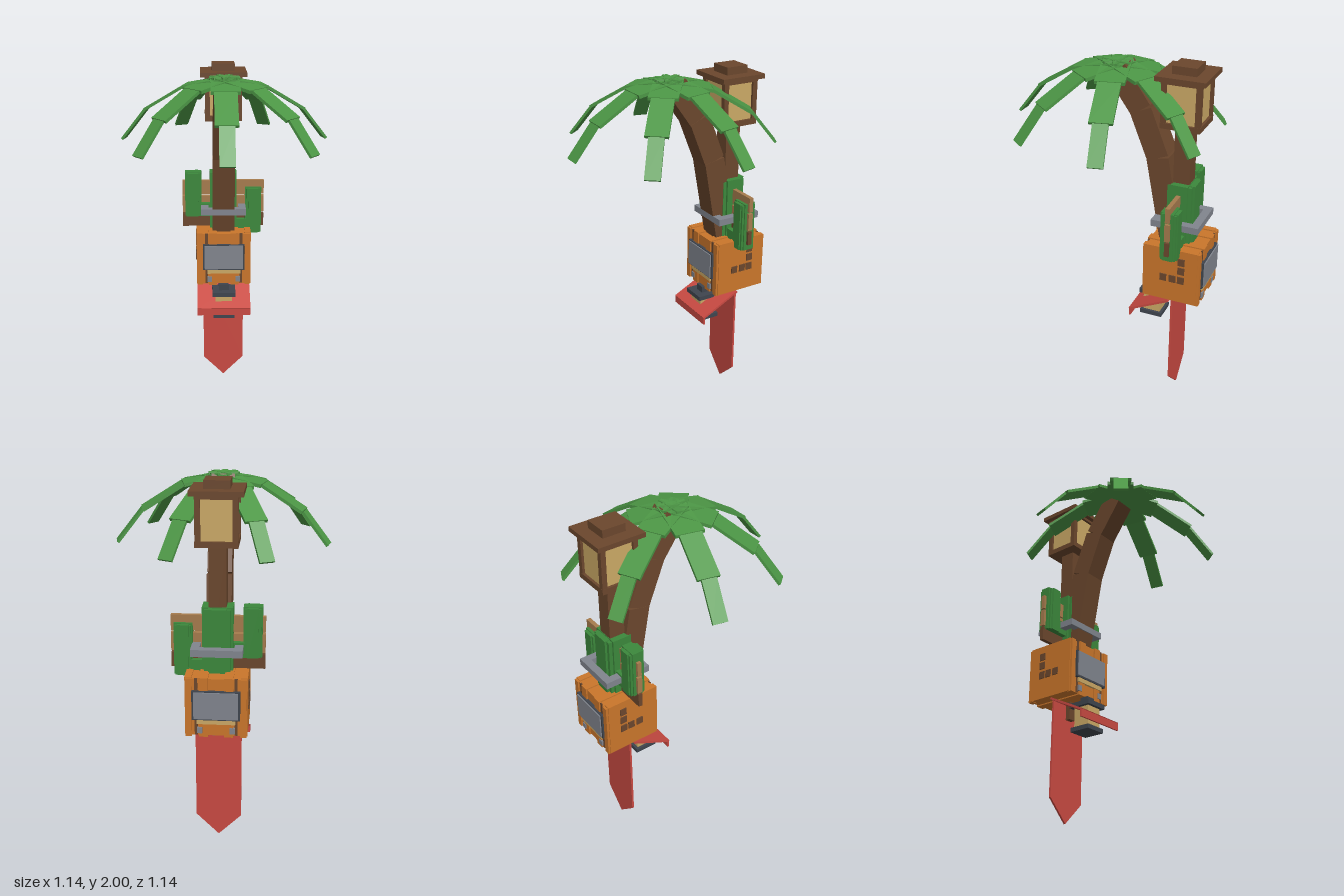
import * as THREE from 'three';

const mat = (name, color) => {
  const m = new THREE.MeshStandardMaterial({ color });
  m.name = name;
  return m;
};

export function createModel() {
  const leaf = mat('leaf green', 0x4c9645);
  const cactusGreen = mat('cactus green', 0x3c883c);
  const bark = mat('dark wood', 0x6b472d);
  const plank = mat('light wood', 0xa67b4d);
  const orange = mat('orange', 0xca762b);
  const glass = mat('lantern glass', 0xcba966);
  const grey = mat('grey metal', 0x81858e);
  const dark = mat('dark metal', 0x3f454e);
  const red = mat('red cloth', 0xc94a42);

  const root = new THREE.Group();
  root.name = 'palmLanternTotem';
  const CZ = -0.385; // axis of the post, crate and banner

  const group = (name, z = 0) => {
    const g = new THREE.Group();
    g.name = name;
    g.position.z = z;
    root.add(g);
    return g;
  };
  // box from its minimum and maximum corners
  const box = (parent, name, m, x0, x1, y0, y1, z0, z1) => {
    const b = new THREE.Mesh(new THREE.BoxGeometry(x1 - x0, y1 - y0, z1 - z0), m);
    b.name = name;
    b.position.set((x0 + x1) / 2, (y0 + y1) / 2, (z0 + z1) / 2);
    parent.add(b);
    return b;
  };
  // beam in the yz plane running from a to b, each given as [z, y]
  const beam = (parent, name, m, a, b, width, thick) => {
    const dz = b[0] - a[0], dy = b[1] - a[1];
    const s = new THREE.Mesh(new THREE.BoxGeometry(width, thick, Math.hypot(dz, dy)), m);
    s.name = name;
    s.position.set(0, (a[1] + b[1]) / 2, (a[0] + b[0]) / 2);
    s.rotation.x = -Math.atan2(dy, dz);
    parent.add(s);
  };

  // leaning palm trunk
  const trunk = group('palmTrunk');
  const joints = [[-0.345, 1.0], [-0.255, 1.49], [-0.155, 1.74], [-0.015, 1.935]];
  for (let i = 0; i < 3; i++) beam(trunk, 'trunkSegment', bark, joints[i], joints[i + 1], 0.13 - i * 0.004, 0.125);

  // seven drooping fronds, each of three narrowing segments
  const crown = group('palmCrown');
  const arc = [[-0.03, 1.965], [0.22, 1.918], [0.435, 1.79], [0.572, 1.62]];
  const widths = [0.155, 0.12, 0.08];
  for (let k = 0; k < 7; k++) {
    const frond = new THREE.Group();
    frond.name = 'frond';
    frond.rotation.y = (k * Math.PI * 2) / 7;
    for (let i = 0; i < 3; i++) beam(frond, 'frondSegment', leaf, arc[i], arc[i + 1], widths[i], 0.018 - i * 0.002);
    crown.add(frond);
  }

  // tall lantern on a post
  const lamp = group('postLantern', CZ);
  box(lamp, 'post', bark, -0.045, 0.045, 1.0, 1.69, -0.045, 0.045);
  box(lamp, 'lanternBase', bark, -0.107, 0.107, 1.68, 1.71, -0.107, 0.107);
  box(lamp, 'lanternGlass', glass, -0.092, 0.092, 1.71, 1.93, -0.092, 0.092);
  box(lamp, 'lanternTopRail', bark, -0.107, 0.107, 1.915, 1.935, -0.107, 0.107);
  for (const sx of [-1, 1]) for (const sz of [-1, 1]) {
    const p = box(lamp, 'lanternCorner', bark, -0.014, 0.014, 1.7, 1.93, -0.014, 0.014);
    p.position.x = sx * 0.092;
    p.position.z = sz * 0.092;
  }
  box(lamp, 'lanternRoof', bark, -0.133, 0.133, 1.933, 1.958, -0.133, 0.133);
  box(lamp, 'lanternCap', bark, -0.065, 0.065, 1.958, 2.0, -0.065, 0.065);

  // plank sign
  const sign = group('plankSign', CZ);
  box(sign, 'lowerPlank', bark, -0.245, 0.245, 1.02, 1.1, -0.012, 0.012);
  box(sign, 'middlePlank', plank, -0.245, 0.245, 1.11, 1.21, -0.014, 0.014);
  box(sign, 'upperPlank', plank, -0.245, 0.245, 1.22, 1.305, -0.012, 0.012);

  // cactus with a cross-shaped stem and two upright arms
  const cactus = group('cactus', CZ);
  const ribbed = (name, x, y0, y1, r) => {
    box(cactus, name, cactusGreen, x - r, x + r, y0, y1, -r * 0.6, r * 0.6);
    box(cactus, name, cactusGreen, x - r * 0.6, x + r * 0.6, y0, y1 - 0.004, -r, r);
    box(cactus, name, cactusGreen, x - r * 0.85, x + r * 0.85, y0, y1 - 0.008, -r * 0.85, r * 0.85);
  };
  ribbed('cactusStem', 0, 1.0, 1.36, 0.08);
  ribbed('rightArm', -0.18, 1.09, 1.36, 0.049);
  ribbed('leftArm', 0.18, 0.985, 1.265, 0.049);
  box(cactus, 'rightElbow', cactusGreen, -0.2, -0.06, 1.09, 1.17, -0.042, 0.042);
  box(cactus, 'leftElbow', cactusGreen, 0.06, 0.2, 0.985, 1.07, -0.042, 0.042);

  // metal band around stem and trunk
  const band = group('metalBand', CZ);
  for (const s of [-1, 1]) {
    const a = box(band, 'bandLong', grey, -0.133, 0.133, 1.122, 1.16, -0.022, 0.022);
    a.position.z = s * 0.111;
    const b = box(band, 'bandShort', grey, -0.022, 0.022, 1.122, 1.16, -0.09, 0.09);
    b.position.x = s * 0.111;
  }

  // orange crate with raised edges
  const crate = group('crate', CZ);
  box(crate, 'crateCore', orange, -0.155, 0.155, 0.697, 1.013, -0.155, 0.155);
  for (const s of [-1, 1]) {
    const side = box(crate, 'crateSide', orange, -0.018, 0.018, 0.695, 1.02, -0.15, 0.15);
    side.position.x = s * 0.144;
    box(crate, 'topRib', orange, s * 0.065 - 0.024, s * 0.065 + 0.024, 0.69, 1.02, -0.163, 0.163);
    for (const t of [-1, 1]) {
      const post = box(crate, 'cornerPost', orange, -0.016, 0.016, 0.692, 1.016, -0.016, 0.016);
      post.position.x = s * 0.142;
      post.position.z = t * 0.147;
      const slot = box(crate, 'slot', bark, -0.008, 0.008, 0.7, 1.016, -0.004, 0.004);
      slot.position.x = s * 0.103;
      slot.position.z = t * 0.154;
    }
    // blocky side marks
    for (const [y, z] of [[0.952, -0.06], [0.897, -0.06], [0.838, -0.06], [0.838, -0.012], [0.838, 0.042]]) {
      const m = box(crate, 'sideMark', bark, -0.004, 0.004, -0.021, 0.021, -0.019, 0.019);
      m.position.set(s * 0.164, y, z);
    }
  }
  // matching screens on front and back
  for (const turn of [0, Math.PI]) {
    const face = new THREE.Group();
    face.name = turn ? 'backPanel' : 'frontPanel';
    face.rotation.y = turn;
    box(face, 'screenFrame', dark, -0.125, 0.125, 0.79, 0.95, 0.155, 0.173);
    box(face, 'screen', grey, -0.115, 0.115, 0.798, 0.945, 0.172, 0.18);
    box(face, 'screenLedge', glass, -0.1, 0.1, 0.765, 0.79, 0.155, 0.169);
    for (const s of [-1, 1]) box(face, 'rivet', grey, s * 0.085 - 0.014, s * 0.085 + 0.014, 0.712, 0.745, 0.155, 0.168);
    crate.add(face);
  }
  box(crate, 'underBlock', plank, -0.06, 0.06, 0.645, 0.7, -0.055, 0.0);
  box(crate, 'bannerBracket', bark, -0.022, 0.022, 0.59, 0.7, 0.002, 0.035);

  // hanging banner with a pointed end
  const banner = group('banner', CZ);
  const s = new THREE.Shape([[-0.125, 0.69], [-0.125, 0.125], [0, 0.0], [0.125, 0.125], [0.125, 0.69]].map(p => new THREE.Vector2(...p)));
  const cloth = new THREE.Mesh(new THREE.ExtrudeGeometry(s, { depth: 0.012, bevelEnabled: false }), red);
  cloth.name = 'bannerCloth';
  cloth.position.z = -0.006;
  banner.add(cloth);

  // sloping awning with a short drop
  const awning = group('awning');
  beam(awning, 'awningSlope', red, [-0.375, 0.682], [-0.142, 0.566], 0.32, 0.012);
  beam(awning, 'awningDrop', red, [-0.146, 0.57], [-0.146, 0.525], 0.32, 0.01);

  // small hanging lantern
  const small = group('smallLantern', -0.238);
  box(small, 'smallBase', dark, -0.065, 0.065, 0.49, 0.515, -0.065, 0.065);
  box(small, 'smallGlass', glass, -0.05, 0.05, 0.515, 0.635, -0.05, 0.05);
  box(small, 'smallRoof', dark, -0.07, 0.07, 0.632, 0.658, -0.07, 0.07);
  box(small, 'smallCap', dark, -0.03, 0.03, 0.658, 0.695, -0.026, 0.026);

  return root;
}
